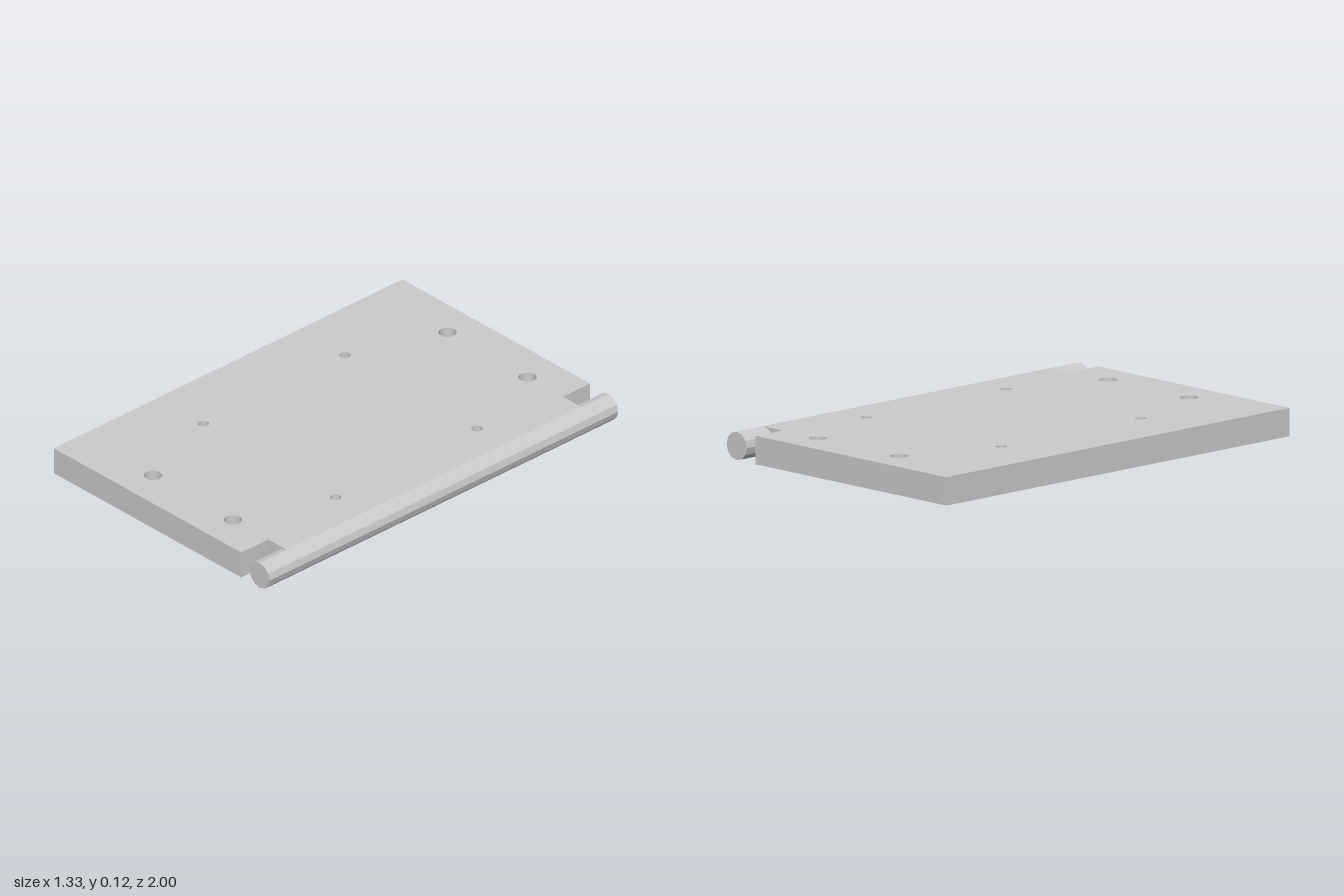
import * as THREE from 'three';

const THICK = 0.122, LEFT = -0.665, ROD_X = 0.6, ROD_R = 0.061;

export function createModel() {
  const group = new THREE.Group();
  const material = new THREE.MeshStandardMaterial({ color: 0xcccccc, flatShading: true });

  // Plate outline, with a notch at both ends beside the rod (shape y becomes -z)
  const notchX = 0.487, notchZ = 0.845;
  const outline = new THREE.Shape([
    [LEFT, -1], [notchX, -1], [notchX, -notchZ], [ROD_X, -notchZ],
    [ROD_X, notchZ], [notchX, notchZ], [notchX, 1], [LEFT, 1],
  ].map(([x, y]) => new THREE.Vector2(x, y)));

  // Through holes: two large and two small at each end
  const holes = [[-0.222, 0.845, 0.038], [0.27, 0.845, 0.038], [-0.382, 0.406, 0.024], [0.43, 0.406, 0.024]];
  for (const [x, z, r] of holes) {
    for (const side of [-1, 1]) {
      outline.holes.push(new THREE.Path().absarc(x, side * z, r, 0, Math.PI * 2, true));
    }
  }
  const plateGeometry = new THREE.ExtrudeGeometry(outline, { depth: THICK, bevelEnabled: false, curveSegments: 12 });
  plateGeometry.rotateX(-Math.PI / 2);
  const plate = new THREE.Mesh(plateGeometry, material);
  plate.name = 'plate';

  // Twelve-sided rod along the left edge
  const rodGeometry = new THREE.CylinderGeometry(ROD_R, ROD_R, 2, 12);
  rodGeometry.rotateX(Math.PI / 2);
  const rod = new THREE.Mesh(rodGeometry, material);
  rod.name = 'hingeRod';
  rod.position.set(ROD_X, THICK / 2, 0);

  group.add(plate, rod);
  return group;
}
